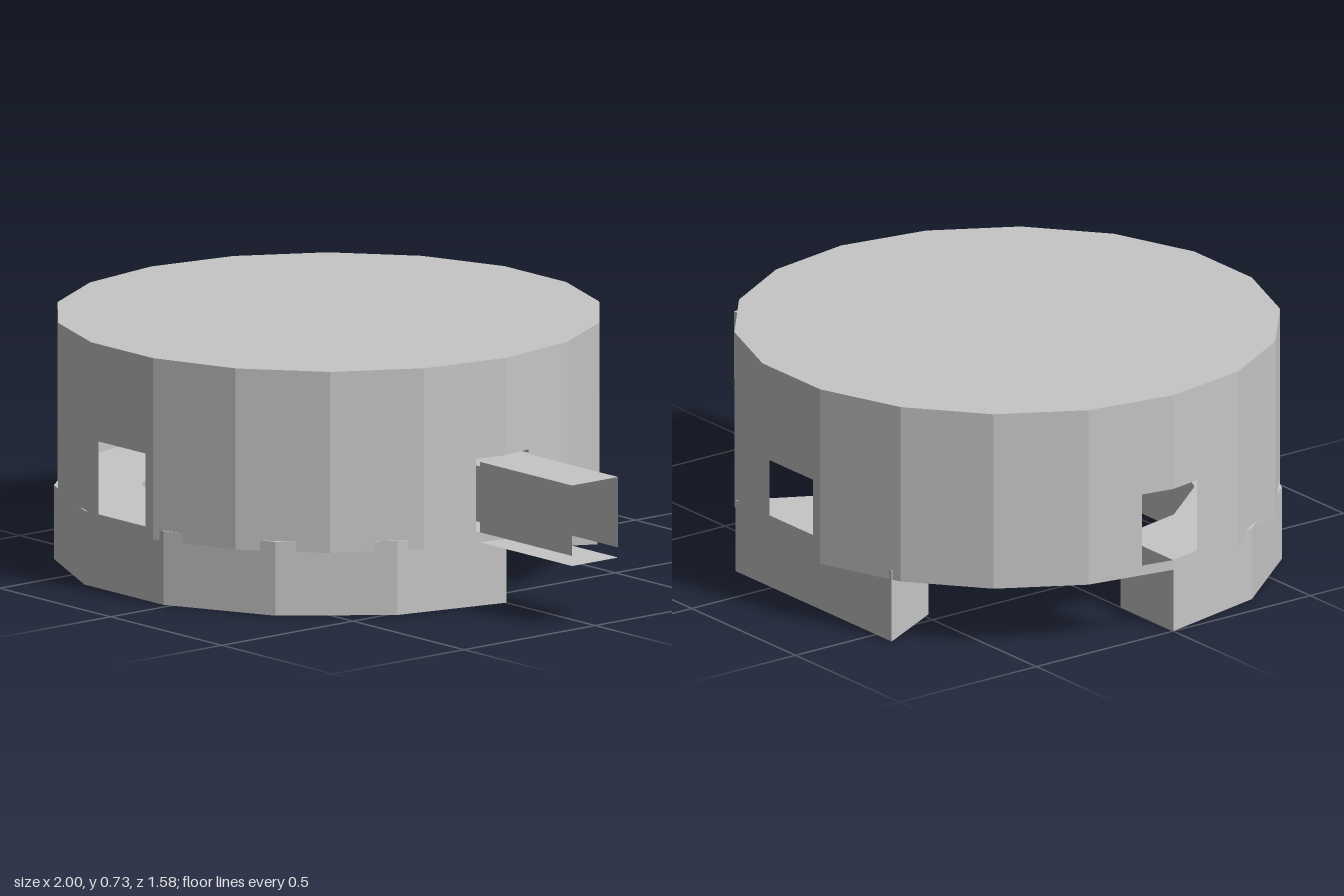
import * as THREE from 'three';
import { mergeGeometries } from 'three/addons/utils/BufferGeometryUtils.js';

const SIDES = 18, R = 0.8, BOTTOM = 0.19, TOP = 0.73;
const WIN_LOW = 0.22, WIN_HIGH = 0.44;

export function createModel() {
  const grey = new THREE.MeshStandardMaterial({ color: 0xc6c6c6, side: THREE.DoubleSide, flatShading: true });
  grey.name = 'plain grey';
  const model = new THREE.Group();
  const hull = new THREE.Group();
  hull.name = 'drum';
  hull.position.x = -0.2;
  model.add(hull);

  const add = (parent, name, geometry) => {
    const mesh = new THREE.Mesh(geometry, grey);
    mesh.name = name;
    parent.add(mesh);
    return mesh;
  };

  // Thin drum wall: one flat panel per side, pieced around the four windows
  const half = R * Math.sin(Math.PI / SIDES);
  const apothem = R * Math.cos(Math.PI / SIDES);
  const windows = {
    0: [-0.105, 0.105], 9: [-0.105, 0.105],
    4: [half - 0.102, half], 13: [half - 0.102, half],
    5: [-half, 0.102 - half], 14: [-half, 0.102 - half],
  };
  const pieces = [];
  for (let i = 0; i < SIDES; i++) {
    const rect = (x0, x1, y0, y1) => {
      if (x1 - x0 < 0.001) return;
      const g = new THREE.PlaneGeometry(x1 - x0, y1 - y0);
      g.translate((x0 + x1) / 2, (y0 + y1) / 2, apothem);
      pieces.push(g.rotateY((i * 2 * Math.PI) / SIDES));
    };
    const hole = windows[i];
    if (!hole) {
      rect(-half, half, BOTTOM, TOP);
      continue;
    }
    rect(-half, half, BOTTOM, WIN_LOW);
    rect(-half, half, WIN_HIGH, TOP);
    rect(-half, hole[0], WIN_LOW, WIN_HIGH);
    rect(hole[1], half, WIN_LOW, WIN_HIGH);
  }
  add(hull, 'drumWall', mergeGeometries(pieces));

  // Flat roof
  const roof = new THREE.CircleGeometry(R, SIDES);
  add(hull, 'roof', roof.rotateX(-Math.PI / 2).translate(0, TOP, 0));

  // Faceted arc-shaped feet under the drum
  const arcFoot = (name, start, end, segments) => {
    const points = [];
    for (const [radius, a, b] of [[R, start, end], [0.545, end, start]]) {
      for (let i = 0; i <= segments; i++) {
        const t = a + ((b - a) * i) / segments;
        points.push(new THREE.Vector2(radius * Math.cos(t), radius * Math.sin(t)));
      }
    }
    const g = new THREE.ExtrudeGeometry(new THREE.Shape(points), { depth: 0.22, bevelEnabled: false });
    add(hull, name, g.rotateX(Math.PI / 2).translate(0, 0.22, 0));
  };
  const deg = Math.PI / 180;
  arcFoot('frontFoot', 0, Math.PI, 7);
  arcFoot('backFoot', 242 * deg, 298 * deg, 1);

  // Two short open tubes inside
  for (const [x, z] of [[0.22, -0.11], [0.04, 0.11]]) {
    const tube = new THREE.CylinderGeometry(0.072, 0.072, 0.14, 24, 1, true);
    add(hull, 'innerTube', tube).position.set(x, 0.15, z);
  }

  // Open-ended duct of thin sheets on the left side
  const duct = new THREE.Group();
  duct.name = 'duct';
  model.add(duct);
  const x0 = 0.585, length = 1 - x0, xMid = (1 + x0) / 2;
  for (const side of [-1, 1]) {
    const g = new THREE.PlaneGeometry(length, 0.21);
    if (side < 0) g.rotateY(Math.PI);
    add(duct, 'ductSide', g).position.set(xMid, 0.325, side * 0.088);
  }
  for (const [name, y] of [['ductTop', 0.43], ['ductFloor', 0.19]]) {
    const g = new THREE.PlaneGeometry(length, 0.176).rotateX(-Math.PI / 2);
    add(duct, name, g).position.set(xMid, y, 0);
  }

  return model;
}
